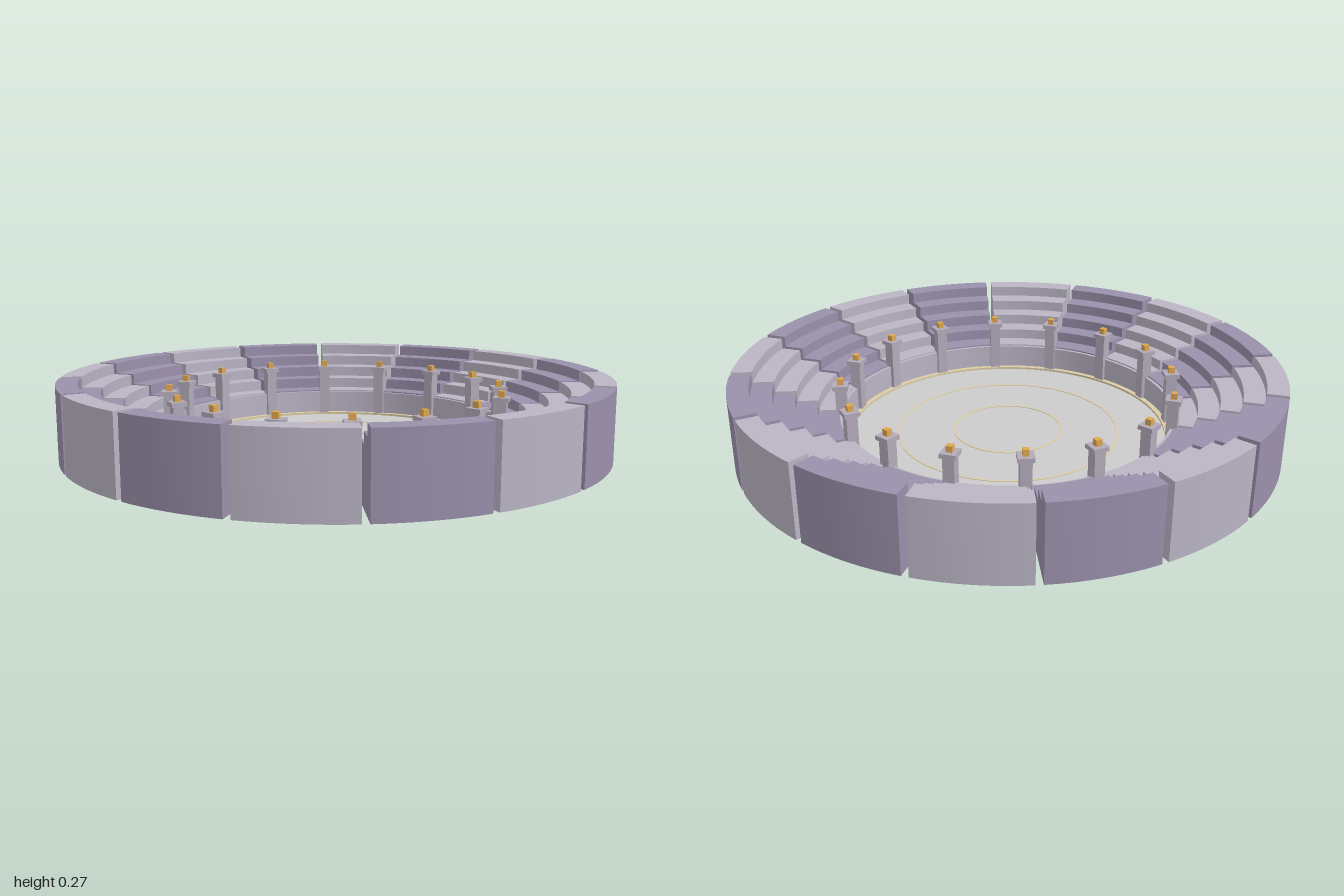
import * as THREE from 'three';
import { mergeGeometries, toCreasedNormals } from 'three/addons/utils/BufferGeometryUtils.js';

const SECTIONS = 16, TIERS = 5, STEP = Math.PI * 2 / SECTIONS, GAP = 0.024;
const R0 = 0.62, DEPTH = 0.076;

const paint = (color) => new THREE.MeshStandardMaterial({ color, side: THREE.DoubleSide });

// Curved bench, open underneath, closed at both ends
function benchGeometry(r0, r1, h, start, length) {
  const profile = [[r1, 0], [r1, h], [r0, h], [r0, 0]].map(([x, y]) => new THREE.Vector2(x, y));
  const shell = toCreasedNormals(new THREE.LatheGeometry(profile, 8, start, length), 0.6);
  const cap = (phi, flip) => new THREE.PlaneGeometry(r1 - r0, h)
    .rotateY(flip ? Math.PI : 0)
    .translate((r0 + r1) / 2, h / 2, 0)
    .rotateY(phi - Math.PI / 2)
    .toNonIndexed();
  return mergeGeometries([shell, cap(start, false), cap(start + length, true)]);
}

// Full ring with a rectangular section
function ringGeometry(r0, r1, y0, y1) {
  const profile = [[r0, y0], [r1, y0], [r1, y1], [r0, y1], [r0, y0]].map(([x, y]) => new THREE.Vector2(x, y));
  return toCreasedNormals(new THREE.LatheGeometry(profile, 96), 0.6);
}

export function createModel() {
  const model = new THREE.Group();
  const add = (parent, name, geometry, material) => {
    const mesh = new THREE.Mesh(geometry, material);
    mesh.name = name;
    parent.add(mesh);
    return mesh;
  };
  const darkStone = paint(0x9a90ab), lightStone = paint(0xbab4c4);
  const floorGrey = paint(0xcccccc), sand = paint(0xd9cca6);
  const postStone = paint(0xb3abba), gold = paint(0xdfa850);

  // Arena floor with its rim and marking circles
  add(model, 'arenaFloor', new THREE.CylinderGeometry(0.59, 0.59, 0.01, 96).translate(0, 0.005, 0), floorGrey);
  add(model, 'floorRim', ringGeometry(0.585, 0.605, 0, 0.018), sand);
  for (const r of [0.2, 0.41])
    add(model, 'floorCircle', ringGeometry(r - 0.004, r + 0.004, 0.008, 0.012), sand);

  // Low wall around the arena
  add(model, 'arenaWall', ringGeometry(0.607, 0.622, 0.002, 0.105), lightStone);

  // Sixteen seating sections in alternating colours, five tiers each
  for (let s = 0; s < SECTIONS; s++) {
    const section = new THREE.Group();
    section.name = 'seatingSection';
    for (let t = 0; t < TIERS; t++) {
      const r0 = R0 + t * DEPTH;
      add(section, 'seatTier',
        benchGeometry(r0, r0 + DEPTH, 0.11 + t * 0.04, s * STEP + GAP / 2, STEP - GAP),
        s % 2 ? lightStone : darkStone);
    }
    model.add(section);
  }

  // Lamp posts at the section gaps
  for (let s = 0; s < SECTIONS; s++) {
    const post = new THREE.Group();
    post.name = 'lampPost';
    add(post, 'postShaft', new THREE.BoxGeometry(0.04, 0.2, 0.04).translate(0, 0.1, 0), postStone);
    add(post, 'postCap', new THREE.BoxGeometry(0.056, 0.016, 0.056).translate(0, 0.208, 0), postStone);
    add(post, 'postLamp', new THREE.BoxGeometry(0.022, 0.022, 0.022).translate(0, 0.227, 0), gold);
    const a = s * STEP;
    post.position.set(Math.sin(a) * 0.612, 0, Math.cos(a) * 0.612);
    post.rotation.y = a;
    model.add(post);
  }
  return model;
}
